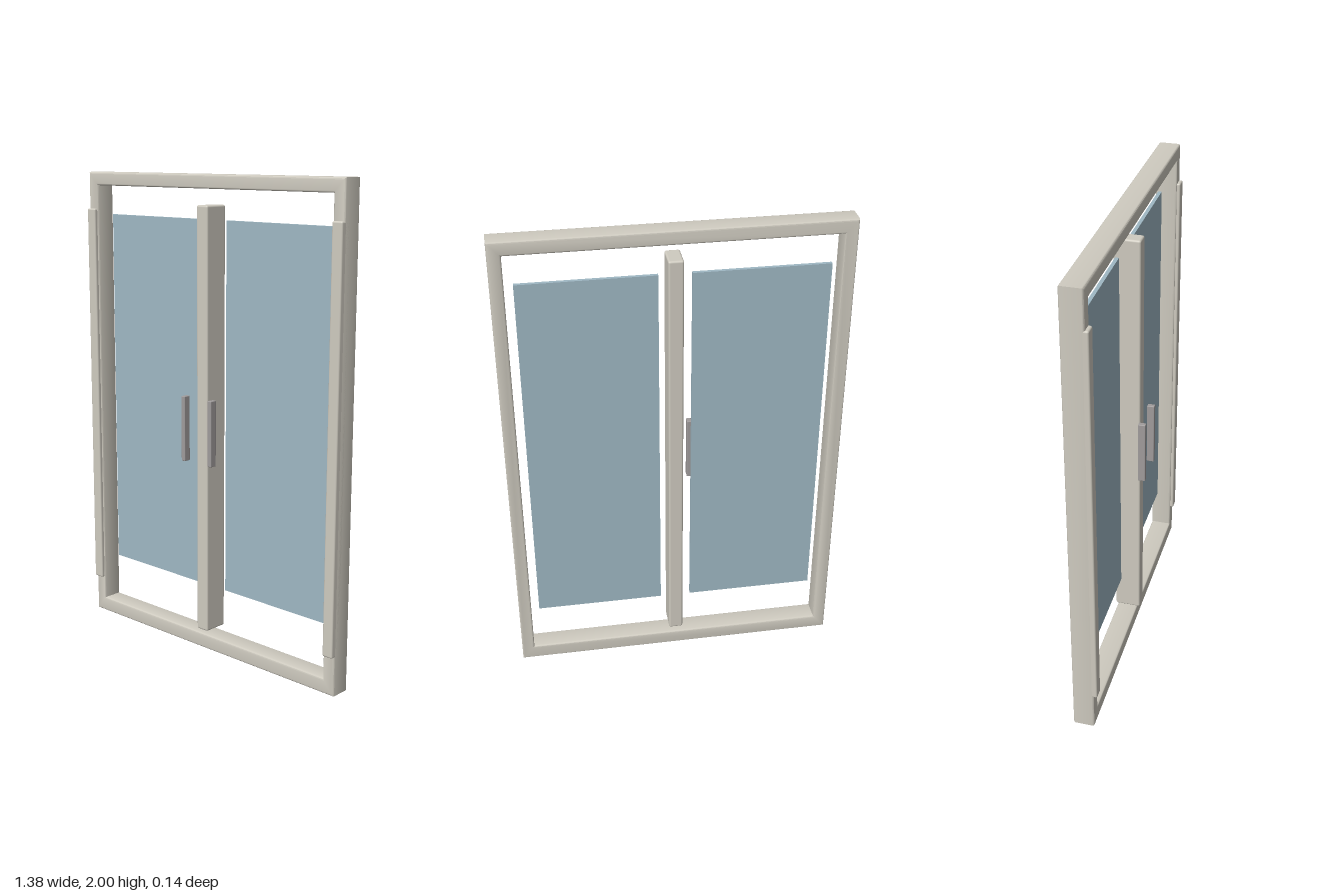
import * as THREE from 'three';
import { toCreasedNormals } from 'three/addons/utils/BufferGeometryUtils.js';
import { RoundedBoxGeometry } from 'three/addons/geometries/RoundedBoxGeometry.js';

const frameMaterial = new THREE.MeshStandardMaterial({ color: 0xcfcbc0 });
const glassMaterial = new THREE.MeshStandardMaterial({ color: 0x9fb8c4 });
const handleMaterial = new THREE.MeshStandardMaterial({ color: 0xa09c9c });

// Trace a rectangle into a shape or a path
function rectangle(path, x0, y0, x1, y1) {
  path.moveTo(x0, y0);
  path.lineTo(x1, y0);
  path.lineTo(x1, y1);
  path.lineTo(x0, y1);
  path.closePath();
  return path;
}

// Box between two corners, rounded when a radius is given
function block(name, min, max, radius, material) {
  const size = max.map((v, i) => v - min[i]);
  const geometry = radius
    ? new RoundedBoxGeometry(...size, 3, radius)
    : new THREE.BoxGeometry(...size);
  const mesh = new THREE.Mesh(geometry, material);
  mesh.position.set(...max.map((v, i) => (v + min[i]) / 2));
  mesh.name = name;
  return mesh;
}

// Outer frame: one ring with softened edges
function createFrame() {
  const back = -0.072, front = 0.018, bevel = 0.008;
  const shape = rectangle(new THREE.Shape(), -0.69, 0, 0.69, 2);
  shape.holes.push(rectangle(new THREE.Path(), -0.637, 0.063, 0.637, 1.944));
  const geometry = new THREE.ExtrudeGeometry(shape, {
    depth: front - back - 2 * bevel,
    bevelThickness: bevel,
    bevelSize: bevel,
    bevelOffset: -bevel,
    bevelSegments: 3,
  });
  geometry.translate(0, 0, back + bevel);
  const mesh = new THREE.Mesh(toCreasedNormals(geometry, 0.7), frameMaterial);
  mesh.name = 'outerFrame';
  return mesh;
}

export function createModel() {
  const model = new THREE.Group();
  model.name = 'doubleDoor';
  model.add(createFrame());

  // Post between the two doors
  model.add(block('centrePost', [-0.03, 0.09, -0.072], [0.03, 1.88, 0.037], 0.008, frameMaterial));

  // Glass, side strip and handle of each door
  for (const [side, s] of [['left', 1], ['right', -1]]) {
    const mirrored = (name, min, max, radius, material) => {
      const xs = [s * min[0], s * max[0]].sort((a, b) => a - b);
      model.add(block(side + name, [xs[0], min[1], min[2]], [xs[1], max[1], max[2]], radius, material));
    };
    mirrored('GlassPanel', [0.065, 0.265, -0.053], [0.602, 1.82, -0.038], 0, glassMaterial);
    mirrored('SideStrip', [0.642, 0.163, -0.02], [0.69, 1.845, 0.032], 0.007, frameMaterial);
    mirrored('Handle', [0.064, 0.83, 0.041], [0.084, 1.105, 0.072], 0.003, handleMaterial);
  }
  return model;
}
